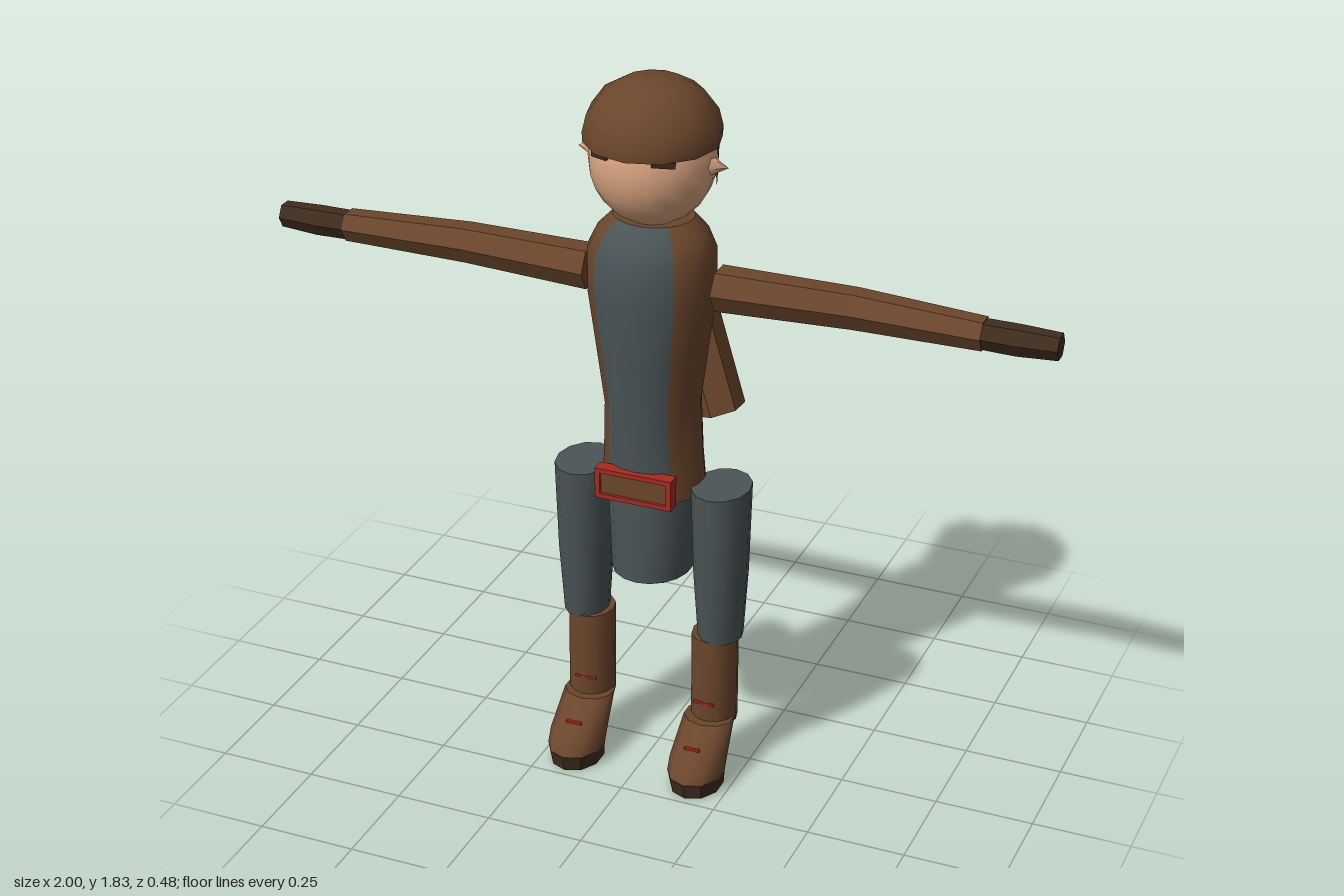
import * as THREE from 'three';

const mat = (name, color, extra = {}) => Object.assign(new THREE.MeshStandardMaterial({ color, ...extra }), { name });

// Stack of elliptical rings [y, rx, rz, cz], bottom to top; faces within `stripe` steps of the front use material 1
function loft(rings, n, stripe = 0) {
  const pos = [], main = [], front = [];
  const ring = ([y, rx, rz, cz]) => {
    for (let j = 0; j < n; j++) {
      const a = (j / n) * Math.PI * 2;
      pos.push(Math.sin(a) * rx, y, Math.cos(a) * rz + cz);
    }
  };
  rings.forEach(ring);
  for (let i = 0; i < rings.length - 1; i++) {
    for (let j = 0; j < n; j++) {
      const k = (j + 1) % n, a = i * n, b = a + n;
      const list = j < stripe || j >= n - stripe ? front : main;
      list.push(a + j, a + k, b + k, a + j, b + k, b + j);
    }
  }
  // End caps with their own vertices, so the rims stay sharp
  [rings[0], rings[rings.length - 1]].forEach((r, top) => {
    const s = pos.length / 3;
    ring(r);
    pos.push(0, r[0], r[3]);
    for (let j = 0; j < n; j++) {
      const k = (j + 1) % n;
      main.push(s + n, s + (top ? j : k), s + (top ? k : j));
    }
  });
  const g = new THREE.BufferGeometry();
  g.setAttribute('position', new THREE.Float32BufferAttribute(pos, 3));
  g.setIndex([...main, ...front]);
  g.addGroup(0, main.length, 0);
  if (front.length) g.addGroup(main.length, front.length, 1);
  g.computeVertexNormals();
  return g;
}

export function createModel() {
  const model = new THREE.Group();
  model.name = 'archer';
  const leather = mat('brown leather', 0x6b462c);
  const leatherFlat = leather.clone();
  leatherFlat.flatShading = true;
  const dark = mat('dark brown', 0x3f2c1e, { flatShading: true });
  const hairMat = mat('hair', 0x3f2c1e, { side: THREE.DoubleSide });
  const cloth = mat('grey cloth', 0x4a5456);
  const skin = mat('skin', 0xd9a481);
  const red = mat('red', 0xa52a20);
  const steel = mat('steel', 0xa3a5a6, { flatShading: true });

  const add = (name, geo, material, x = 0, y = 0, z = 0, parent = model) => {
    const m = new THREE.Mesh(geo, material);
    m.name = name;
    m.position.set(x, y, z);
    parent.add(m);
    return m;
  };

  // Tunic with the grey front panel, and the hips below it
  add('tunic', loft([
    [0.77, 0.132, 0.117, 0.035], [0.86, 0.124, 0.118, 0.037], [1.0, 0.117, 0.125, 0.04],
    [1.15, 0.137, 0.136, 0.043], [1.3, 0.158, 0.147, 0.045], [1.4, 0.158, 0.143, 0.045],
    [1.45, 0.135, 0.122, 0.04], [1.485, 0.1, 0.09, 0.035],
  ], 18, 2), [leather, cloth]);
  add('hips', loft([[0.545, 0.1, 0.112, 0.042], [0.8, 0.115, 0.114, 0.038]], 18), cloth);
  add('backSeam', new THREE.BoxGeometry(0.02, 0.46, 0.009), dark, 0, 1.12, -0.092).rotation.x = 0.06;

  // Belt buckle
  const frame = new THREE.Shape([[-0.1, -0.04], [0.1, -0.04], [0.1, 0.04], [-0.1, 0.04]].map(p => new THREE.Vector2(...p)));
  frame.holes.push(new THREE.Path([[-0.087, -0.028], [-0.087, 0.028], [0.087, 0.028], [0.087, -0.028]].map(p => new THREE.Vector2(...p))));
  add('buckleFrame', new THREE.ExtrudeGeometry(frame, { depth: 0.035, bevelEnabled: false }), red, 0, 0.812, 0.135);
  add('bucklePlate', new THREE.BoxGeometry(0.18, 0.065, 0.03), leather, 0, 0.812, 0.148);

  // Head, cap and hair
  const head = new THREE.Group();
  head.name = 'head';
  head.position.set(0, 1.63, 0.042);
  model.add(head);
  add('face', new THREE.SphereGeometry(0.153, 20, 14).scale(1, 1.06, 0.98), skin, 0, 0, 0, head);
  add('cap', loft([
    [0.045, 0.164, 0.168, 0], [0.07, 0.165, 0.169, 0], [0.112, 0.155, 0.158, 0],
    [0.16, 0.12, 0.122, 0], [0.187, 0.072, 0.075, 0], [0.195, 0.02, 0.02, 0],
  ], 12), leather, 0, 0, 0, head);
  add('hair', new THREE.CylinderGeometry(0.156, 0.151, 0.115, 14, 1, true, Math.PI / 2 + 0.2, Math.PI - 0.4), hairMat, 0, -0.005, 0, head);
  for (const s of [1, -1]) {
    const ear = add('ear', new THREE.ConeGeometry(0.03, 0.055, 5).scale(1, 1, 1.1), skin, s * 0.163, 0.0, 0, head);
    ear.rotation.z = -s * Math.PI / 2;
    const brow = add('eyebrow', new THREE.BoxGeometry(0.055, 0.015, 0.009), dark, s * 0.08, 0.037, 0.126, head);
    brow.rotation.set(0, s * 0.55, -s * 0.12);
  }

  // Limbs, mirrored
  const arm = loft([[0.165, 0.057, 0.057, 0.035], [0.5, 0.051, 0.05, 0.019], [0.82, 0.041, 0.041, 0.035]], 6);
  const glove = loft([[0.82, 0.037, 0.037, 0.036], [0.9, 0.038, 0.037, 0.038], [1.0, 0.033, 0.032, 0.035]], 6);
  const thigh = loft([[0.38, 0.056, 0.065, 0.04], [0.56, 0.067, 0.08, 0.041], [0.8, 0.073, 0.092, 0.042]], 12);
  const shaft = loft([[0.14, 0.059, 0.062, 0.043], [0.385, 0.058, 0.066, 0.041]], 12);
  const foot = loft([[0.04, 0.071, 0.084, 0.157], [0.075, 0.071, 0.083, 0.14], [0.155, 0.065, 0.058, 0.07]], 10);
  const sole = loft([[0, 0.066, 0.082, 0.15], [0.042, 0.071, 0.085, 0.157]], 10);
  for (const s of [1, -1]) {
    const side = s > 0 ? 'left' : 'right';
    add(side + 'Arm', arm, leatherFlat, 0, 1.32, 0).rotation.z = -s * Math.PI / 2;
    add(side + 'Glove', glove, dark, 0, 1.32, 0).rotation.z = -s * Math.PI / 2;
    add(side + 'Leg', thigh, cloth, s * 0.182);
    add(side + 'BootShaft', shaft, leather, s * 0.168);
    add(side + 'Foot', foot, leather, s * 0.165);
    add(side + 'Sole', sole, dark, s * 0.165);
    add(side + 'BootLace', new THREE.BoxGeometry(0.055, 0.006, 0.008), red, s * 0.162, 0.205, 0.102);
    add(side + 'FootLace', new THREE.BoxGeometry(0.04, 0.006, 0.008), red, s * 0.162, 0.112, 0.177);
  }

  // Slanted quiver with arrow tips
  const top = new THREE.Vector3(-0.097, 1.525, -0.173), bottom = new THREE.Vector3(0.105, 0.91, -0.138);
  const axis = top.clone().sub(bottom);
  const quiver = add('quiver', new THREE.CylinderGeometry(0.066, 0.064, axis.length(), 6), leatherFlat);
  quiver.position.copy(top).add(bottom).multiplyScalar(0.5);
  quiver.quaternion.setFromUnitVectors(new THREE.Vector3(0, 1, 0), axis.normalize());
  for (let i = 0; i < 4; i++) {
    add('arrowTip', new THREE.ConeGeometry(0.018, 0.13, 4), steel, -0.137 + i * 0.026, 1.575, -0.175);
  }
  return model;
}
